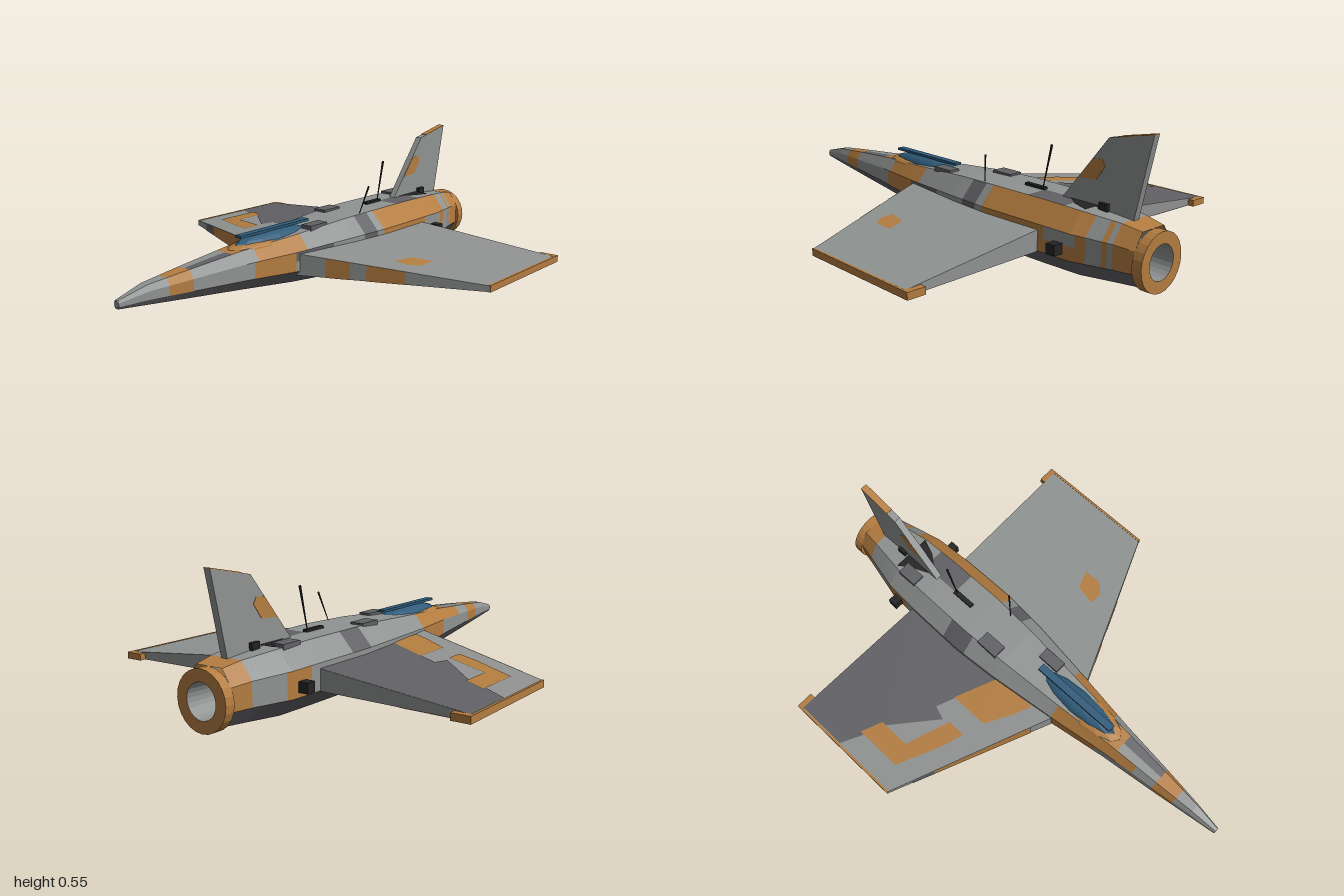
import * as THREE from 'three';

const mat = (name, color) => {
  const m = new THREE.MeshStandardMaterial({ color, side: THREE.DoubleSide, flatShading: true });
  m.name = name;
  return m;
};

export function createModel() {
  const M = {
    grey: mat('light grey', 0x8f9391), orange: mat('orange tan', 0xb47d40), dark: mat('dark grey', 0x626166),
    black: mat('black', 0x242424), blue: mat('canopy blue', 0x2f5b7a),
  };
  const root = new THREE.Group();
  root.name = 'jetAircraft';
  const add = (name, geo, m, x = 0, y = 0, z = 0, parent = root) => {
    const mesh = new THREE.Mesh(geo, m);
    mesh.name = name;
    mesh.position.set(x, y, z);
    parent.add(mesh);
    return mesh;
  };
  const box = (name, m, x0, x1, y0, y1, z0, z1) =>
    add(name, new THREE.BoxGeometry(x1 - x0, y1 - y0, z1 - z0), m, (x0 + x1) / 2, (y0 + y1) / 2, (z0 + z1) / 2);
  const fromTris = (pos) => {
    const g = new THREE.BufferGeometry();
    g.setAttribute('position', new THREE.Float32BufferAttribute(pos, 3));
    g.computeVertexNormals();
    return g;
  };
  const quad = (a, b, c, d) => [...a, ...b, ...c, ...a, ...c, ...d];

  // Fuselage stations: z, half width, top y, bottom y
  const stations = [
    [1, 0.012, 0.15, 0.12], [0.88, 0.028, 0.18, 0.108], [0.7, 0.05, 0.196, 0.09], [0.46, 0.076, 0.215, 0.066],
    [0.2, 0.113, 0.228, 0.04], [-0.1, 0.15, 0.247, 0.018], [-0.3, 0.165, 0.252, 0.01], [-0.55, 0.162, 0.252, 0.01],
    [-0.72, 0.153, 0.247, 0.01], [-0.88, 0.115, 0.235, 0.02], [-0.96, 0.098, 0.222, 0.025],
  ];
  const section = (z) => {
    let i = 0;
    while (i < stations.length - 2 && z < stations[i + 1][0]) i++;
    const a = stations[i], b = stations[i + 1], t = (a[0] - z) / (a[0] - b[0]);
    const [w, top, bot] = [1, 2, 3].map((k) => a[k] + (b[k] - a[k]) * t);
    const h = top - bot, at = (f) => bot + f * h;
    return [[0, bot], [w * 0.6, bot], [w, at(0.28)], [w, at(0.5)], [w, at(0.7)], [w * 0.6, top], [0, top]];
  };
  // Camouflage: side (0 = both), first and last facet, z range, colour; later entries win
  const patches = [
    [0, 0, 1, -1, 1, 'dark'],
    [0, 2, 5, 0.7, 0.8, 'orange'], [1, 5, 5, 0.34, 0.7, 'dark'], [-1, 4, 4, 0.2, 0.6, 'orange'],
    [-1, 2, 3, 0.2, 0.42, 'orange'], [1, 2, 3, 0.22, 0.42, 'orange'], [1, 4, 4, 0.16, 0.4, 'orange'],
    [0, 5, 5, 0.44, 0.5, 'orange'], [1, 3, 3, 0.02, 0.22, 'dark'],
    [1, 2, 4, -0.86, -0.28, 'orange'], [1, 3, 4, -0.24, -0.16, 'dark'], [1, 3, 3, -0.74, -0.6, 'grey'],
    [1, 2, 4, -0.84, -0.78, 'grey'], [1, 5, 5, -0.64, -0.46, 'dark'],
    [-1, 4, 4, -0.38, -0.26, 'dark'], [-1, 2, 3, -0.74, -0.62, 'orange'],
    [0, 2, 5, -0.96, -0.88, 'orange'],
  ];
  const skin = { grey: [], orange: [], dark: [] };
  for (let k = 0; k < 98; k++) {
    const z0 = 1 - k * 0.02, z1 = z0 - 0.02, zm = z0 - 0.01, A = section(z0), B = section(z1);
    for (const s of [1, -1]) for (let f = 0; f < 6; f++) {
      let c = 'grey';
      for (const [side, f0, f1, a, b, col] of patches)
        if ((!side || side === s) && f >= f0 && f <= f1 && zm > a && zm < b) c = col;
      const p = (P, i, z) => [s * P[i][0], P[i][1], z];
      const q = [p(A, f, z0), p(B, f, z1), p(B, f + 1, z1), p(A, f + 1, z0)];
      skin[c].push(...quad(...(s > 0 ? q : q.reverse())));
    }
  }
  for (const c in skin) add('fuselage ' + c, fromTris(skin[c]), M[c]);
  add('noseCap', new THREE.CircleGeometry(0.013, 8), M.grey, 0, 0.135, 1);

  // Exhaust nozzle
  const lathe = (name, pts, m) => {
    const g = new THREE.LatheGeometry(pts.map(([r, y]) => new THREE.Vector2(r, y)), 24);
    g.rotateX(-Math.PI / 2);
    add(name, g, m, 0, 0.111, 0);
  };
  lathe('nozzleRing', [[0.09, 0.955], [0.111, 0.96], [0.111, 1], [0.066, 1]], M.orange);
  lathe('nozzleInside', [[0.066, 1], [0.058, 0.85]], M.grey);
  lathe('nozzleBack', [[0.058, 0.85], [0, 0.85]], M.black);

  // Wings
  const X0 = 0.1, X1 = 0.79, lerp = THREE.MathUtils.lerp;
  const wt = (x) => (Math.abs(x) - X0) / (X1 - X0);
  const topY = (x) => lerp(0.163, 0.104, wt(x)), botY = (x) => lerp(0.075, 0.08, wt(x));
  const leadZ = (x) => lerp(0.208, -0.085, wt(x)), trailZ = (x) => lerp(-0.572, -0.608, wt(x));
  const plate = (name, pts, yOf, m) => {
    const g = new THREE.ShapeGeometry(new THREE.Shape(pts.map(([x, z]) => new THREE.Vector2(x, -z))));
    g.rotateX(-Math.PI / 2);
    const p = g.attributes.position;
    for (let i = 0; i < p.count; i++) p.setY(i, yOf(p.getX(i)));
    g.computeVertexNormals();
    add(name, g, m);
  };
  for (const s of [1, -1]) {
    const side = s > 0 ? 'left' : 'right';
    const g = new THREE.BoxGeometry(1, 1, 1).toNonIndexed(), p = g.attributes.position;
    for (let i = 0; i < p.count; i++) {
      const x = s * lerp(X0, X1, s * p.getX(i) + 0.5);
      p.setXYZ(i, x, p.getY(i) > 0 ? topY(x) : botY(x), p.getZ(i) > 0 ? leadZ(x) : trailZ(x));
    }
    g.computeVertexNormals();
    add(side + 'Wing', g, M.grey);
    box(side + 'WingTipRail', M.orange, s * 0.79 - 0.005, s * 0.79 + 0.005, 0.079, 0.106, -0.63, -0.085);
    box(side + 'WingTipBlock', M.orange, s * 0.755 - 0.035, s * 0.755 + 0.035, 0.079, 0.106, -0.63, -0.604);
    box(side + 'SidePod', M.black, s * 0.168 - 0.028, s * 0.168 + 0.028, 0.095, 0.135, -0.69, -0.65);
  }
  // Wing camouflage
  const above = (x) => topY(x) + 0.0015;
  const higher = (x) => topY(x) + 0.003;
  const below = (x) => botY(x) - 0.0015;
  plate('rightWingDarkPatch', [[-0.14, -0.573], [-0.783, -0.607], [-0.783, -0.38], [-0.69, -0.33], [-0.6, -0.29],
    [-0.42, -0.13], [-0.4, -0.19], [-0.33, -0.16], [-0.13, -0.07]], above, M.dark);
  plate('rightWingOuterPatch', [[-0.69, -0.35], [-0.6, -0.31], [-0.6, -0.17], [-0.54, -0.15], [-0.41, -0.1],
    [-0.41, -0.02], [-0.5, -0.05], [-0.69, -0.14]], higher, M.orange);
  plate('rightWingInnerPatch', [[-0.32, -0.16], [-0.14, -0.08], [-0.13, 0.11], [-0.2, 0.08], [-0.32, 0.01]], higher, M.orange);
  plate('leftWingPatch', [[0.4, -0.03], [0.42, -0.12], [0.5, -0.15], [0.5, -0.07], [0.46, -0.03]], above, M.orange);
  plate('rightWingUnderPatch', [[-0.784, -0.09], [-0.784, -0.606], [-0.5, -0.592], [-0.52, -0.5], [-0.68, -0.2]], below, M.orange);
  for (const [a, b, c] of [[-0.6, -0.2, 'orange'], [-0.69, -0.6, 'dark'], [0.21, 0.3, 'orange'], [0.36, 0.5, 'orange']]) {
    const z = (x) => leadZ(x) + 0.002;
    add('leadingEdgePatch', fromTris(quad([a, botY(a), z(a)], [b, botY(b), z(b)], [b, topY(b), z(b)], [a, topY(a), z(a)])), M[c]);
  }

  // Tail fin, with a painted patch on each side, its leading edge and its top
  const sideShape = (pts, d) => {
    const g = new THREE.ExtrudeGeometry(new THREE.Shape(pts.map(([z, y]) => new THREE.Vector2(-z, y))), { depth: d, bevelEnabled: false });
    return g.translate(0, 0, -d / 2).rotateY(Math.PI / 2);
  };
  add('tailFin', sideShape([[-0.55, 0.24], [-0.765, 0.505], [-0.955, 0.545], [-0.885, 0.225]], 0.028), M.grey);
  add('finPatch', sideShape([[-0.632, 0.338], [-0.697, 0.42], [-0.74, 0.425], [-0.755, 0.4], [-0.715, 0.345]], 0.031), M.orange);
  add('finTopPaint', sideShape([[-0.81, 0.513], [-0.81, 0.517], [-0.955, 0.547], [-0.955, 0.543]], 0.029), M.orange);

  // Canopy, its frame and top rail
  const dome = (name, m, w, h, l, y, z) =>
    add(name, new THREE.SphereGeometry(1, 12, 8, 0, Math.PI * 2, 0, Math.PI / 2).scale(w, h, l), m, 0, y, z);
  dome('canopyFrame', M.orange, 0.066, 0.024, 0.165, 0.211, 0.315);
  dome('canopy', M.blue, 0.054, 0.04, 0.21, 0.215, 0.245);
  box('canopyRail', M.blue, -0.016, 0.016, 0.252, 0.262, 0.04, 0.43);

  // Raised panels and fittings on the back
  box('hatch', M.dark, -0.1, -0.04, 0.235, 0.258, -0.23, -0.13);
  box('hatch', M.dark, 0.03, 0.08, 0.225, 0.25, 0.0, 0.1);
  box('hatch', M.dark, -0.1, -0.045, 0.235, 0.26, -0.7, -0.61);
  plate('finBasePlate', [[-0.085, -0.73], [0.085, -0.73], [0.06, -0.66], [0.015, -0.6], [-0.015, -0.6], [-0.05, -0.68]], () => 0.254, M.black);
  box('finBaseFitting', M.black, -0.028, 0.028, 0.24, 0.27, -0.78, -0.74);

  // Whip antennas
  const antenna = (a, b, r) => {
    const A = new THREE.Vector3(...a), d = new THREE.Vector3(...b).sub(A);
    const m = add('antenna', new THREE.CylinderGeometry(r, r * 0.4, d.length(), 6), M.black);
    m.position.copy(A).addScaledVector(d, 0.5);
    m.quaternion.setFromUnitVectors(new THREE.Vector3(0, 1, 0), d.normalize());
  };
  antenna([0.08, 0.24, -0.21], [0.108, 0.365, -0.242], 0.004);
  antenna([0, 0.25, -0.445], [0, 0.43, -0.487], 0.005);
  box('antennaBase', M.black, -0.01, 0.01, 0.245, 0.262, -0.46, -0.36);
  return root;
}
